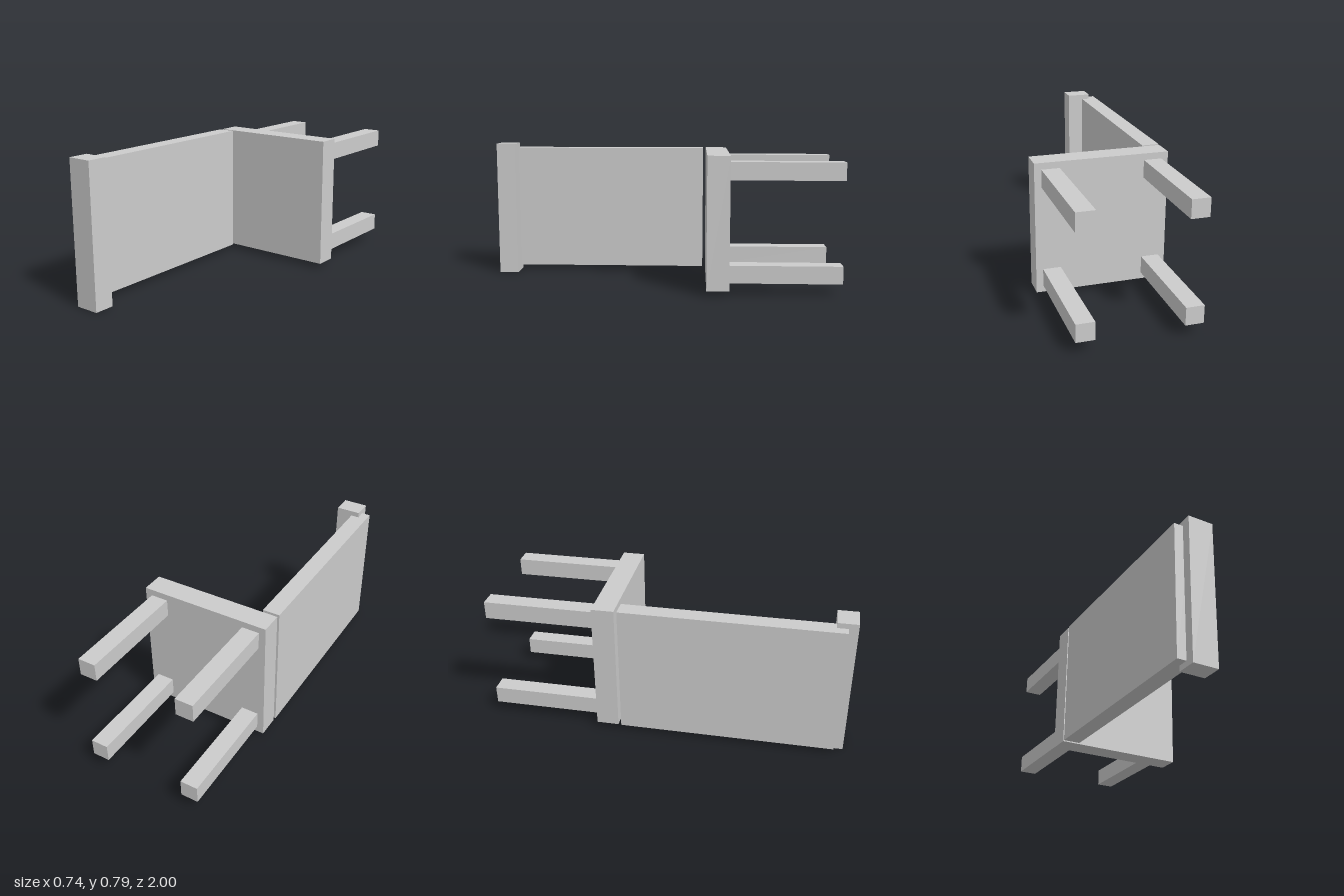
import * as THREE from 'three';

const material = new THREE.MeshStandardMaterial({ color: 0xcccccc, flatShading: true });

// Box spanning the given ranges on each axis
function block(name, [x0, x1], [y0, y1], [z0, z1]) {
  const mesh = new THREE.Mesh(new THREE.BoxGeometry(x1 - x0, y1 - y0, z1 - z0), material);
  mesh.name = name;
  mesh.position.set((x0 + x1) / 2, (y0 + y1) / 2, (z0 + z1) / 2);
  return mesh;
}

// A chair lying on its side, with its legs pointing to -z
export function createModel() {
  const chair = new THREE.Group();
  chair.name = 'chair';
  const midY = 0.396;

  chair.add(block('seat', [-0.367, 0.367], [0.03, 0.762], [-0.386, -0.262]));
  // Backrest stands just clear of the seat
  chair.add(block('backrest', [-0.37, -0.274], [0.03, 0.762], [-0.245, 0.948]));
  // Rail across the end of the backrest, slightly wider than it
  chair.add(block('topRail', [-0.32, -0.181], [0, 0.791], [0.888, 1]));

  // Four square legs, inset from the seat corners
  const legHalf = 0.049;
  for (const sx of [-1, 1]) {
    for (const sy of [-1, 1]) {
      const x = sx * 0.28, y = midY + sy * 0.281;
      chair.add(block('leg', [x - legHalf, x + legHalf], [y - legHalf, y + legHalf], [-1, -0.386]));
    }
  }
  return chair;
}
